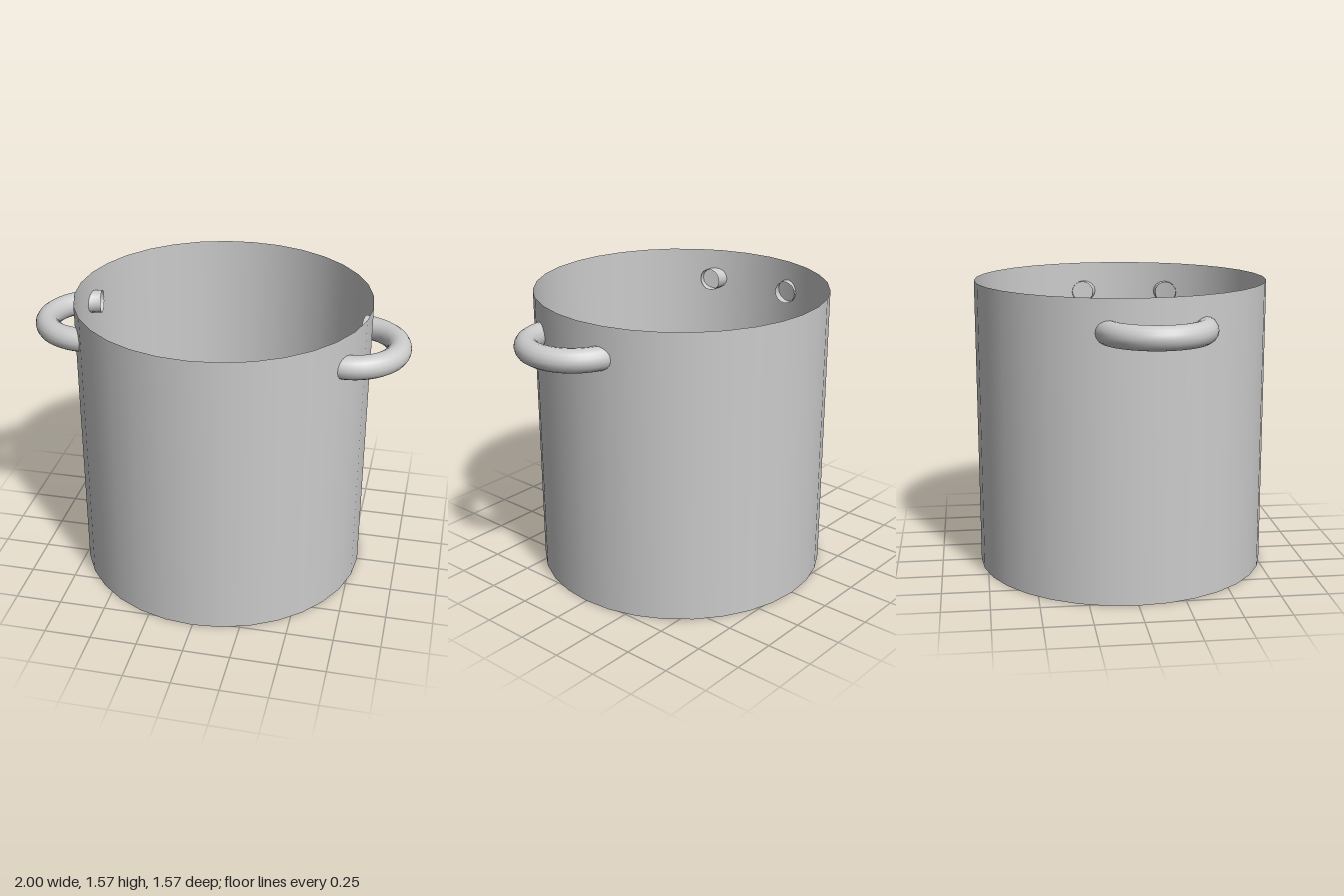
import * as THREE from 'three';

const RADIUS = 0.785, HEIGHT = 1.57, SIDES = 32;

export function createModel() {
  const pot = new THREE.Group();
  pot.name = 'pot';
  const material = new THREE.MeshStandardMaterial({ color: 0xcccccc, side: THREE.DoubleSide });

  const add = (name, geometry, x = 0, y = 0, z = 0) => {
    const mesh = new THREE.Mesh(geometry, material);
    mesh.name = name;
    mesh.position.set(x, y, z);
    pot.add(mesh);
  };

  // Thin open wall and flat floor
  add('wall', new THREE.CylinderGeometry(RADIUS, RADIUS, HEIGHT, SIDES, 1, true), 0, HEIGHT / 2, 0);
  add('floor', new THREE.CircleGeometry(RADIUS, SIDES).rotateX(-Math.PI / 2));

  // Half-ring handles, open ends poking through the wall, turned slightly to the front
  const handle = (name, x, z, startDegrees) => {
    const ring = new THREE.TorusGeometry(0.25, 0.062, 16, 24, Math.PI);
    ring.rotateZ(THREE.MathUtils.degToRad(startDegrees)).rotateX(Math.PI / 2);
    add(name, ring, x, 1.4, z);
  };
  handle('leftHandle', 0.688, 0.108, -80);
  handle('rightHandle', -0.688, 0.09, 82);

  return pot;
}
